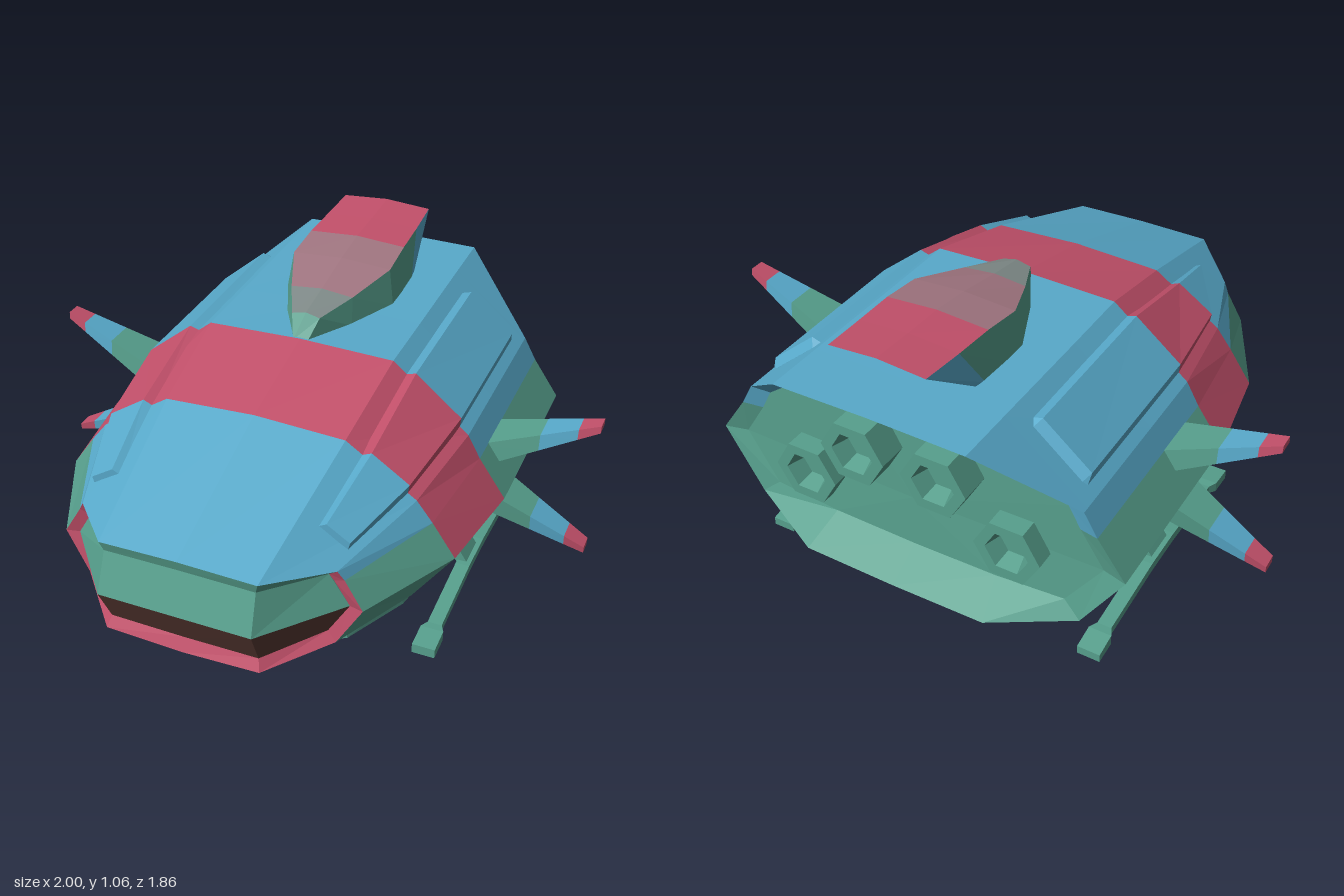
import * as THREE from 'three';

const mat = (name, color) => new THREE.MeshStandardMaterial({ name, color });

export function createModel() {
  const model = new THREE.Group();
  model.name = 'shuttle';
  const blue = mat('blue paint', 0x58aacb);
  const green = mat('green paint', 0x57a08d);
  const pink = mat('red paint', 0xc2506a);
  const mauve = mat('faded red paint', 0xa07580);
  const grey = mat('faded green paint', 0x7f8a88);
  const dark = mat('dark glass', 0x5a3a34);

  // Flat-shaded skin over closed rings; one mesh per colour.
  function skin(name, rings, pick, { map = p => p, flip = false, caps = false } = {}) {
    const part = new THREE.Group();
    part.name = name;
    const buckets = new Map();
    const tri = (m, a, b, c) => {
      if (!buckets.has(m)) buckets.set(m, []);
      for (const p of flip ? [a, c, b] : [a, b, c]) buckets.get(m).push(...map(p));
    };
    const n = rings[0].length;
    for (let i = 0; i < rings.length - 1; i++) {
      for (let j = 0; j < n; j++) {
        const k = (j + 1) % n, m = pick(i, j);
        tri(m, rings[i][j], rings[i][k], rings[i + 1][k]);
        tri(m, rings[i][j], rings[i + 1][k], rings[i + 1][j]);
      }
    }
    if (caps) {
      const first = rings[0], last = rings[rings.length - 1];
      for (let k = 1; k < n - 1; k++) {
        tri(pick(0, 0), first[0], first[k + 1], first[k]);
        tri(pick(rings.length - 2, 0), last[0], last[k], last[k + 1]);
      }
    }
    for (const [m, pos] of buckets) {
      const g = new THREE.BufferGeometry();
      g.setAttribute('position', new THREE.Float32BufferAttribute(pos, 3));
      g.computeVertexNormals();
      const mesh = new THREE.Mesh(g, m);
      mesh.name = `${name} ${m.name}`;
      part.add(mesh);
    }
    model.add(part);
  }

  // Half sections run from top centre, round the left side, to bottom centre.
  const both = h => [...h, ...h.slice(1, -1).reverse().map(([x, y, z]) => [-x, y, z])];
  const level = (z, h) => h.map(([x, y]) => [x, y, z]);

  const side = [0.465, 0.445, 0.68];
  const glassMid = [[0, 0.445, 0.93], [0.255, 0.445, 0.93], side, side, side, side,
    [0.255, 0.445, 0.93], [0, 0.445, 0.93]];
  const glassEdge = [[0, 0.582, 0.88], [0.25, 0.58, 0.88], [0.4, 0.555, 0.69], [0.415, 0.53, 0.685],
    side, [0.4, 0.335, 0.69], [0.25, 0.318, 0.87], [0, 0.315, 0.87]];
  const nose = [[0, 0.62, 0.89], [0.26, 0.615, 0.89], [0.43, 0.58, 0.70], [0.45, 0.545, 0.69],
    [0.51, 0.445, 0.69], [0.43, 0.305, 0.70], [0.26, 0.28, 0.89], [0, 0.27, 0.89]];
  const brow = level(0.34, [[0, 0.805], [0.31, 0.79], [0.55, 0.63], [0.605, 0.56],
    [0.685, 0.445], [0.55, 0.25], [0.31, 0.13], [0, 0.115]]);
  const crown = level(-0.03, [[0, 0.89], [0.33, 0.88], [0.6, 0.66], [0.645, 0.58],
    [0.74, 0.445], [0.6, 0.22], [0.33, 0.09], [0, 0.07]]);
  const belly = level(-0.3, [[0, 0.892], [0.33, 0.883], [0.6, 0.66], [0.645, 0.58],
    [0.74, 0.445], [0.6, 0.22], [0.33, 0.08], [0, 0.06]]);
  const stern = level(-0.72, [[0, 0.895], [0.33, 0.89], [0.6, 0.66], [0.645, 0.58],
    [0.74, 0.445], [0.6, 0.22], [0.33, 0.1], [0, 0.085]]);
  const tail = [[0, 0.898, -0.93], [0.33, 0.893, -0.93], [0.6, 0.66, -0.74], [0.645, 0.58, -0.74],
    [0.74, 0.445, -0.74], [0.6, 0.23, -0.75], [0.33, 0.19, -0.87], [0, 0.185, -0.87]];
  const recess = [[0, 0.83, -0.72], [0.3, 0.82, -0.72], [0.54, 0.645, -0.72], [0.58, 0.57, -0.72],
    [0.66, 0.445, -0.72], [0.54, 0.28, -0.735], [0.3, 0.265, -0.74], [0, 0.26, -0.74]];
  const half = j => (j < 7 ? j : 13 - j);
  const skinOf = j => (half(j) < 3 ? blue : green);

  skin('frontWindows', [glassMid, glassEdge].map(both), (i, j) => (half(j) < 4 ? green : dark));
  skin('windowRim', [glassEdge, nose].map(both), (i, j) => (half(j) < 2 ? green : pink));
  skin('hull', [nose, brow, crown, belly, stern, tail].map(both), (i, j) => {
    if (i !== 1) return skinOf(j);
    return half(j) < 4 ? pink : half(j) < 5 ? mauve : green;
  });
  skin('rearRecess', [tail, recess, recess.map(() => [0, 0.445, -0.73])].map(both),
    (i, j) => (i === 0 ? skinOf(j) : green));

  // Raised panels laid on the upper and lower shoulders.
  const frames = [nose, brow, crown, stern];
  const onHull = (k, z) => {
    let i = 0;
    while (i < 2 && frames[i + 1][k][2] > z) i++;
    const a = frames[i][k], b = frames[i + 1][k], t = (z - a[2]) / (b[2] - a[2]);
    return a.map((v, c) => v + (b[c] - v) * t);
  };
  const panelRing = (k1, k2, up) => ([z, f0, f1, h]) => {
    const a = onHull(k1, z), b = onHull(k2, z);
    const at = (f, o) => [a[0] + (b[0] - a[0]) * f + o * 0.63, a[1] + (b[1] - a[1]) * f + o * 0.77 * up, z];
    return [at(f0, -0.01), at(f0 + 0.07, h), at(f1 - 0.07, h), at(f1, -0.01)];
  };
  const panelCuts = [[0.62, 0.3, 0.88, 0.022], [0.34, 0.22, 0.89, 0.028],
    [-0.03, 0.16, 0.9, 0.028], [-0.64, 0.16, 0.9, 0.028], [-0.665, 0.16, 0.9, 0]];
  for (const s of [1, -1]) {
    const map = ([x, y, z]) => [s * x, y, z];
    skin('upperPanel', panelCuts.map(panelRing(1, 2, 1)), i => (i === 1 ? pink : blue),
      { map, flip: s < 0, caps: true });
    skin('lowerPanel', panelCuts.map(panelRing(6, 5, -1)), () => green,
      { map, flip: s > 0, caps: true });
  }

  // Dorsal fin: base half width and z, then top half width, y and z.
  const fin = [[0.025, -0.03, 0.05, 0.952, -0.08], [0.12, -0.2, 0.112, 0.975, -0.22],
    [0.2, -0.39, 0.18, 1.01, -0.4], [0.2, -0.48, 0.177, 1.03, -0.55],
    [0.195, -0.6, 0.172, 1.037, -0.7], [0.19, -0.63, 0.165, 1.048, -0.86]]
    .map(([bx, bz, tx, ty, tz]) => [[-bx, 0.88, bz], [-tx, ty, tz], [0, ty + 0.012, tz],
      [tx, ty, tz], [bx, 0.88, bz]]);
  const finTop = [grey, mauve, mauve, pink, pink];
  skin('dorsalFin', fin, (i, j) => (j === 1 || j === 2 ? finTop[i] : i === 4 ? blue : green), { caps: true });

  // Four tapered side wings.
  const wing = [0.6, 0.81, 0.93, 1].map(x => {
    const lo = 0.68 - (1 - x) * 0.516, hi = 0.705 - (1 - x) * 0.347;
    const w = 0.03 + (1 - x) * 0.165;
    return [[x, lo, -0.21 - w], [x, hi, -0.21 - w * 0.9], [x, hi, -0.21 + w * 0.9], [x, lo, -0.21 + w]];
  });
  for (const sx of [1, -1]) {
    for (const sy of [1, -1]) {
      skin('wing', wing, i => [green, blue, pink][i], {
        map: ([x, y, z]) => [sx * x, 0.445 + sy * (y - 0.445), z], flip: sx * sy < 0, caps: true,
      });
    }
  }

  // Landing skids with angled struts.
  const skid = [[0.33, 0.04, 0, 0.035], [0.24, 0.04, 0.005, 0.043], [0.21, 0.025, 0.012, 0.042],
    [-0.1, 0.025, 0.035, 0.068], [-0.27, 0.025, 0.035, 0.068], [-0.57, 0.025, 0.012, 0.042],
    [-0.6, 0.04, 0.005, 0.043], [-0.68, 0.04, 0, 0.03]]
    .map(([z, w, y0, y1]) => [[0.6 - w, y0, z], [0.6 - w, y1, z], [0.6 + w, y1, z], [0.6 + w, y0, z]]);
  const strutShape = [[0.585, 0.04], [0.62, 0.05], [0.58, 0.11], [0.52, 0.165], [0.42, 0.2],
    [0.42, 0.14], [0.5, 0.135], [0.55, 0.09]];
  for (const s of [1, -1]) {
    skin('skid', skid, () => green, { map: ([x, y, z]) => [s * x, y, z], flip: s < 0, caps: true });
    const shape = new THREE.Shape(strutShape.map(([x, y]) => new THREE.Vector2(s * x, y)));
    const strut = new THREE.Mesh(new THREE.ExtrudeGeometry(shape, { depth: 0.12, bevelEnabled: false }), green);
    strut.position.z = -0.24;
    strut.name = 'skidStrut';
    const mount = new THREE.Mesh(new THREE.BoxGeometry(0.1, 0.035, 0.24), green);
    mount.position.set(s * 0.46, 0.16, -0.2);
    mount.rotation.z = s * 0.5;
    mount.name = 'strutMount';
    model.add(strut, mount);
  }

  // Hexagonal engine nozzles in an arch.
  const profile = [[0.115, 0], [0.115, 0.11], [0.075, 0.11], [0.055, 0.05], [0, 0.05]]
    .map(([r, y]) => new THREE.Vector2(r, y));
  const nozzle = new THREE.LatheGeometry(profile, 6).toNonIndexed();
  nozzle.rotateX(-Math.PI / 2).rotateZ(Math.PI / 6);
  nozzle.computeVertexNormals();
  for (const [x, y, z] of [[0.145, 0.63, -0.72], [0.37, 0.43, -0.68]]) {
    for (const s of [1, -1]) {
      const engine = new THREE.Mesh(nozzle, green);
      engine.position.set(s * x, y, z);
      engine.name = 'engineNozzle';
      model.add(engine);
    }
  }
  return model;
}
